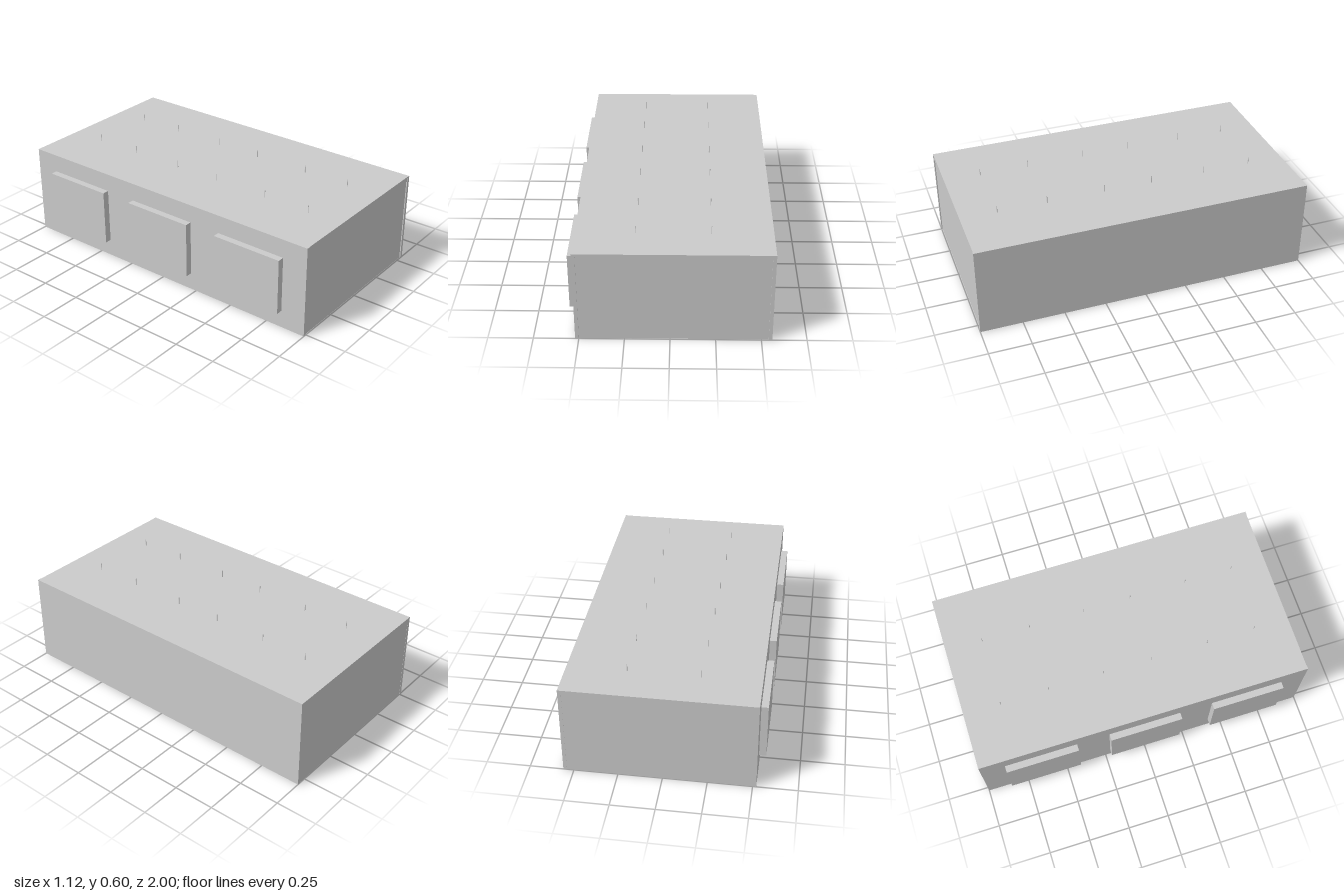
import * as THREE from 'three';

export function createModel() {
  const model = new THREE.Group();
  const material = new THREE.MeshStandardMaterial({ color: 0xcccccc, flatShading: true });

  // Box given by its minimum and maximum on each axis
  function box(name, [x0, x1], [y0, y1], [z0, z1]) {
    const mesh = new THREE.Mesh(new THREE.BoxGeometry(x1 - x0, y1 - y0, z1 - z0), material);
    mesh.position.set((x0 + x1) / 2, (y0 + y1) / 2, (z0 + z1) / 2);
    mesh.name = name;
    model.add(mesh);
  }

  // Room shell: side walls, roof, floor and slightly inset end walls
  box('rightWall', [-0.52, -0.5], [0, 0.55], [-1, 1]);
  box('leftWall', [0.54, 0.56], [0, 0.55], [-1, 1]);
  box('roof', [-0.5, 0.54], [0.52, 0.55], [-1, 0.998]);
  box('floor', [-0.5, 0.54], [0, 0.015], [-0.998, 0.994]);
  box('frontWall', [-0.5, 0.54], [0.015, 0.52], [0.974, 0.994]);
  box('backWall', [-0.5, 0.54], [0.015, 0.52], [-0.999, -0.979]);

  // Three window boxes standing out from the right wall
  for (const z of [-0.637, -0.003, 0.631]) {
    box('windowBox', [-0.56, -0.52], [0.105, 0.44], [z - 0.218, z + 0.218]);
  }

  // Two rows of thin rods standing on the roof
  const rodGeometry = new THREE.CylinderGeometry(0.002, 0.002, 0.045, 8);
  for (const x of [-0.187, 0.222]) {
    for (const z of [-0.777, -0.486, -0.152, 0.14, 0.488, 0.782]) {
      const rod = new THREE.Mesh(rodGeometry, material);
      rod.position.set(x, 0.5725, z);
      rod.name = 'roofRod';
      model.add(rod);
    }
  }

  return model;
}
